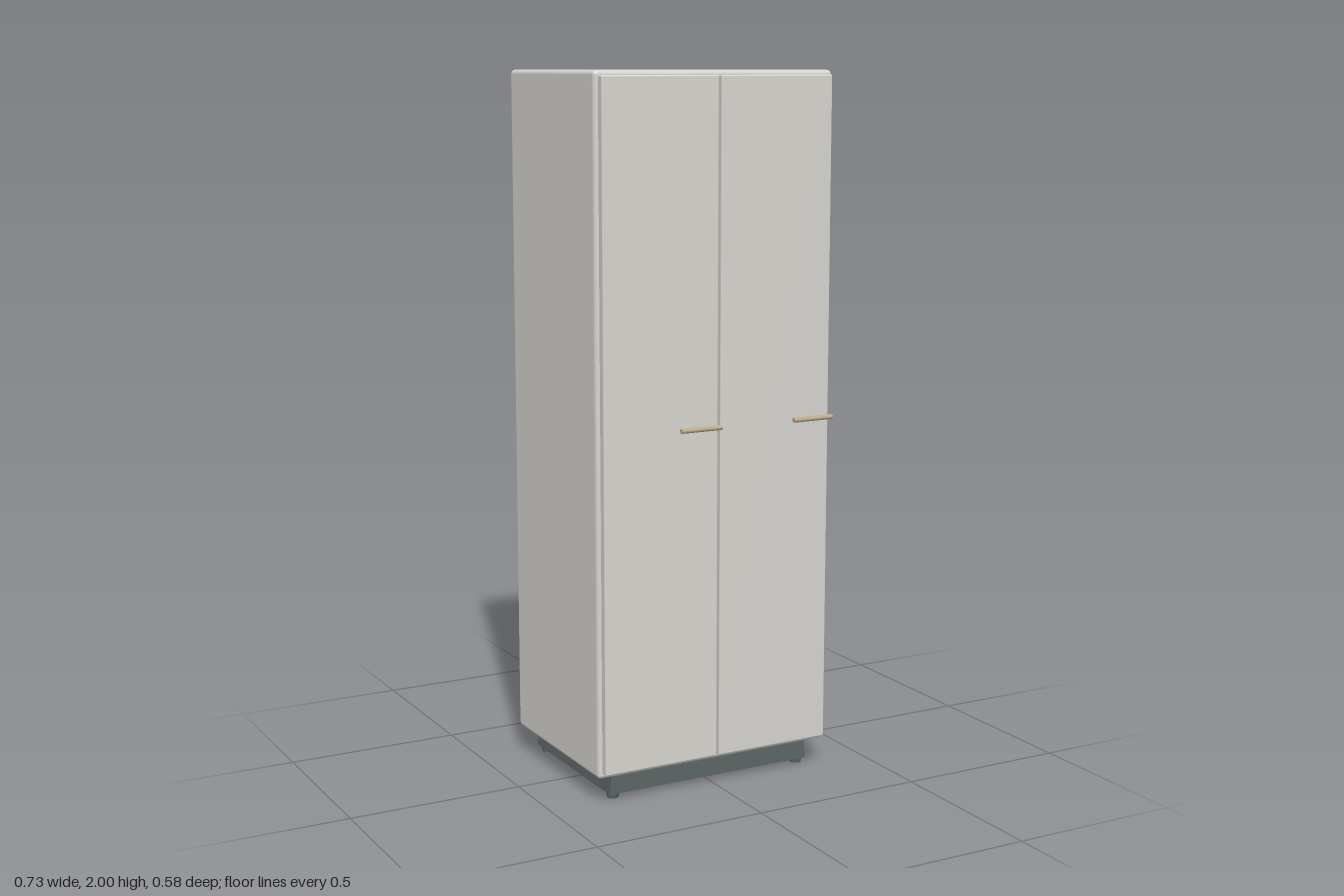
import * as THREE from 'three';
import { RoundedBoxGeometry } from 'three/addons/geometries/RoundedBoxGeometry.js';

const material = (color) => new THREE.MeshStandardMaterial({ color });

export function createModel() {
  const model = new THREE.Group();
  const shell = material(0xd6d4cf);
  const dark = material(0x5c6665);
  const brass = material(0xb9a987);

  const add = (name, geometry, mat, x, y, z) => {
    const mesh = new THREE.Mesh(geometry, mat);
    mesh.name = name;
    mesh.position.set(x, y, z);
    model.add(mesh);
    return mesh;
  };
  // Rounded box given by its minimum and maximum corners
  const block = (name, mat, [x0, y0, z0], [x1, y1, z1], radius) =>
    add(name, new RoundedBoxGeometry(x1 - x0, y1 - y0, z1 - z0, 4, radius), mat,
      (x0 + x1) / 2, (y0 + y1) / 2, (z0 + z1) / 2);

  // Cabinet body
  block('cabinetBody', shell, [-0.367, 0.075, -0.29], [0.367, 2, 0.242], 0.012);

  // Two doors, each with a horizontal bar handle near its right-hand edge
  for (const [name, x0, x1] of [['right', -0.355, -0.004], ['left', 0.003, 0.354]]) {
    block(name + 'Door', shell, [x0, 0.09, 0.235], [x1, 1.987, 0.263], 0.004);
    const bar = new THREE.CylinderGeometry(0.007, 0.007, 0.126, 20);
    bar.rotateZ(Math.PI / 2);
    add(name + 'Handle', bar, brass, x1 - 0.062, 1.037, 0.28);
  }

  // Recessed plinth, slightly flared towards the floor
  const plinth = new THREE.BoxGeometry(0.64, 0.052, 0.478);
  const p = plinth.attributes.position;
  for (let i = 0; i < p.count; i++) {
    if (p.getY(i) > 0) p.setX(i, p.getX(i) * 0.985);
  }
  plinth.computeVertexNormals();
  add('plinth', plinth, dark, 0, 0.041, -0.022);
  add('plinthNeck', new THREE.BoxGeometry(0.6, 0.02, 0.45), dark, 0, 0.07, -0.022);

  // Four low feet
  for (const x of [-0.3, 0.3]) {
    for (const z of [-0.235, 0.195]) {
      add('foot', new THREE.CylinderGeometry(0.02, 0.016, 0.02, 24), dark, x, 0.01, z);
    }
  }
  return model;
}
